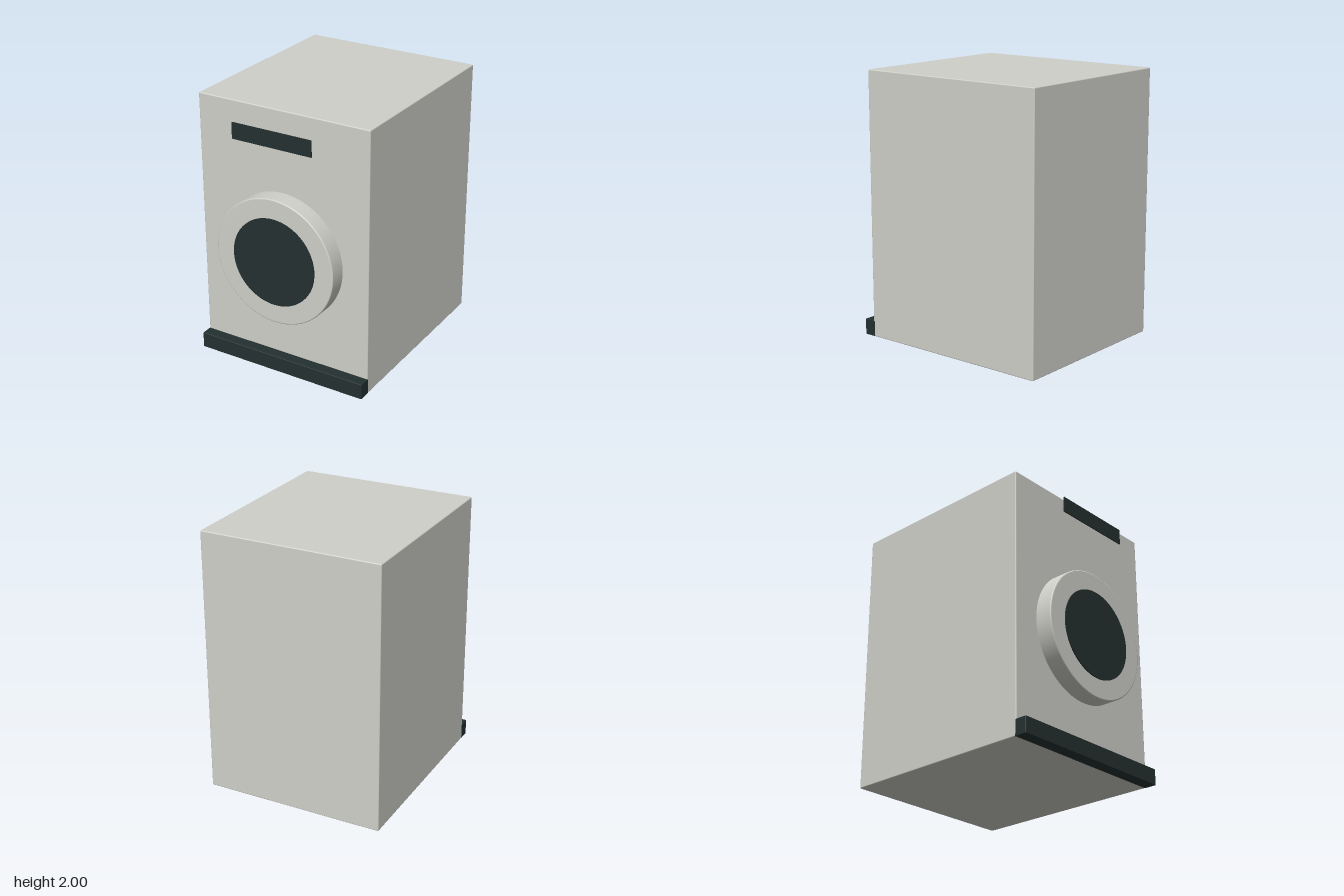
import * as THREE from 'three';
import { RoundedBoxGeometry } from 'three/addons/geometries/RoundedBoxGeometry.js';

export function createModel() {
  const model = new THREE.Group();
  model.name = 'washingMachine';

  const enamel = new THREE.MeshStandardMaterial({ color: 0xd0d0ca });
  enamel.name = 'light grey enamel';
  const dark = new THREE.MeshStandardMaterial({ color: 0x243030 });
  dark.name = 'dark glass';

  function add(name, geometry, material, x, y, z) {
    const mesh = new THREE.Mesh(geometry, material);
    mesh.name = name;
    mesh.position.set(x, y, z);
    model.add(mesh);
    return mesh;
  }

  // Cabinet with finely softened edges
  add('cabinet', new RoundedBoxGeometry(1.366, 2, 1.502, 2, 0.008), enamel, 0, 1, -0.068);

  // Plinth along the foot of the front
  add('plinth', new RoundedBoxGeometry(1.366, 0.12, 0.098, 2, 0.004), dark, 0, 0.06, 0.718);

  // Round door: a disc with a small bevel on its front rim
  const radius = 0.478, depth = 0.132, bevel = 0.008;
  const profile = [new THREE.Vector2(radius, 0), new THREE.Vector2(radius, depth - bevel)];
  for (let i = 1; i <= 3; i++) {
    const a = (i / 3) * Math.PI / 2;
    profile.push(new THREE.Vector2(
      radius - bevel + bevel * Math.cos(a),
      depth - bevel + bevel * Math.sin(a)
    ));
  }
  const rim = new THREE.LatheGeometry(profile, 96);
  rim.rotateX(Math.PI / 2);
  add('doorRim', rim, enamel, 0, 0.918, 0.68);
  add('doorFace', new THREE.CircleGeometry(radius - bevel, 96), enamel, 0, 0.918, 0.68 + depth);

  // Door window
  const glass = new THREE.CylinderGeometry(0.332, 0.332, 0.009, 96);
  glass.rotateX(Math.PI / 2);
  add('doorWindow', glass, dark, 0, 0.918, 0.8155);

  // Display panel, held in line with the door front
  add('displayPanel', new THREE.BoxGeometry(0.632, 0.12, 0.008), dark, 0, 1.838, 0.812);

  return model;
}
